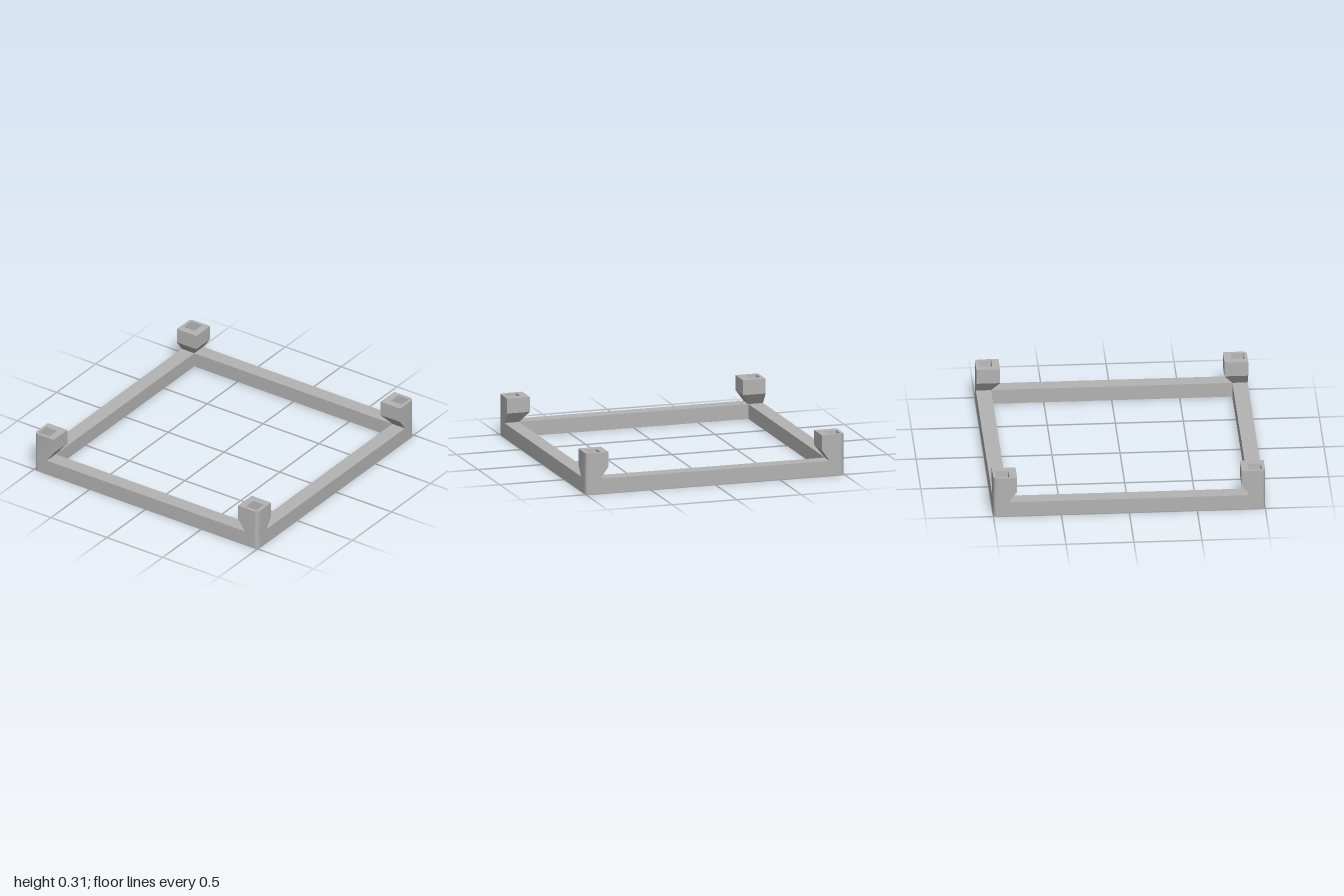
import * as THREE from 'three';
import { toCreasedNormals } from 'three/addons/utils/BufferGeometryUtils.js';

const INNER = 0.887, HEIGHT = 0.112, RADIUS = 0.03, ARC = 6;

// One ring of a corner post (in x, z) from lo to hi, its outer corner rounded by r
function ring(y, lo, hi, r) {
  const points = [[lo, y, lo], [lo, y, hi]];
  for (let i = 0; i <= ARC; i++) {
    const a = (i / ARC) * Math.PI / 2;
    points.push([hi - r + r * Math.sin(a), y, hi - r + r * Math.cos(a)]);
  }
  points.push([hi, y, lo]);
  return points.map(p => new THREE.Vector3(...p));
}

// Join successive rings with quads, leaving out collapsed triangles
function loft(rings) {
  const triangles = [];
  const add = (a, b, c) => {
    if (new THREE.Triangle(a, b, c).getArea() > 1e-8) triangles.push(a, b, c);
  };
  for (let k = 0; k + 1 < rings.length; k++) {
    const low = rings[k], up = rings[k + 1], n = low.length;
    for (let j = 0; j < n; j++) {
      const m = (j + 1) % n;
      add(low[j], low[m], up[m]);
      add(low[j], up[m], up[j]);
    }
  }
  const geometry = new THREE.BufferGeometry().setFromPoints(triangles);
  return toCreasedNormals(geometry, 0.5);
}

function frameGeometry() {
  const s = 1 - RADIUS;
  const shape = new THREE.Shape();
  shape.absarc(s, s, RADIUS, 0, Math.PI / 2);
  shape.absarc(-s, s, RADIUS, Math.PI / 2, Math.PI);
  shape.absarc(-s, -s, RADIUS, Math.PI, Math.PI * 1.5);
  shape.absarc(s, -s, RADIUS, Math.PI * 1.5, Math.PI * 2);
  shape.closePath();
  const hole = [[-1, -1], [-1, 1], [1, 1], [1, -1]];
  shape.holes.push(new THREE.Path(hole.map(([x, y]) => new THREE.Vector2(x * INNER, y * INNER))));
  const geometry = new THREE.ExtrudeGeometry(shape, { depth: HEIGHT, bevelEnabled: false, curveSegments: ARC });
  geometry.rotateX(-Math.PI / 2);
  return toCreasedNormals(geometry, 0.5);
}

export function createModel() {
  const model = new THREE.Group();
  const grey = new THREE.MeshStandardMaterial({ color: 0xb3b3b3 });
  grey.name = 'grey';

  // Square base frame
  const frame = new THREE.Mesh(frameGeometry(), grey);
  frame.name = 'baseFrame';
  model.add(frame);

  // Flared corner posts, each with a tapered square socket in its top
  const postGeometry = loft([
    ring(HEIGHT, INNER, 1, RADIUS),
    ring(0.197, 0.825, 1, RADIUS),
    ring(0.31, 0.825, 1, RADIUS),
    ring(0.31, 0.88, 0.977, 0),
    ring(0.21, 0.89, 0.967, 0),
    ring(0.21, 0.9285, 0.9285, 0),
  ]);
  ['frontLeft', 'backLeft', 'backRight', 'frontRight'].forEach((corner, i) => {
    const post = new THREE.Mesh(postGeometry, grey);
    post.name = corner + 'Post';
    post.rotation.y = i * Math.PI / 2;
    model.add(post);
  });
  return model;
}
